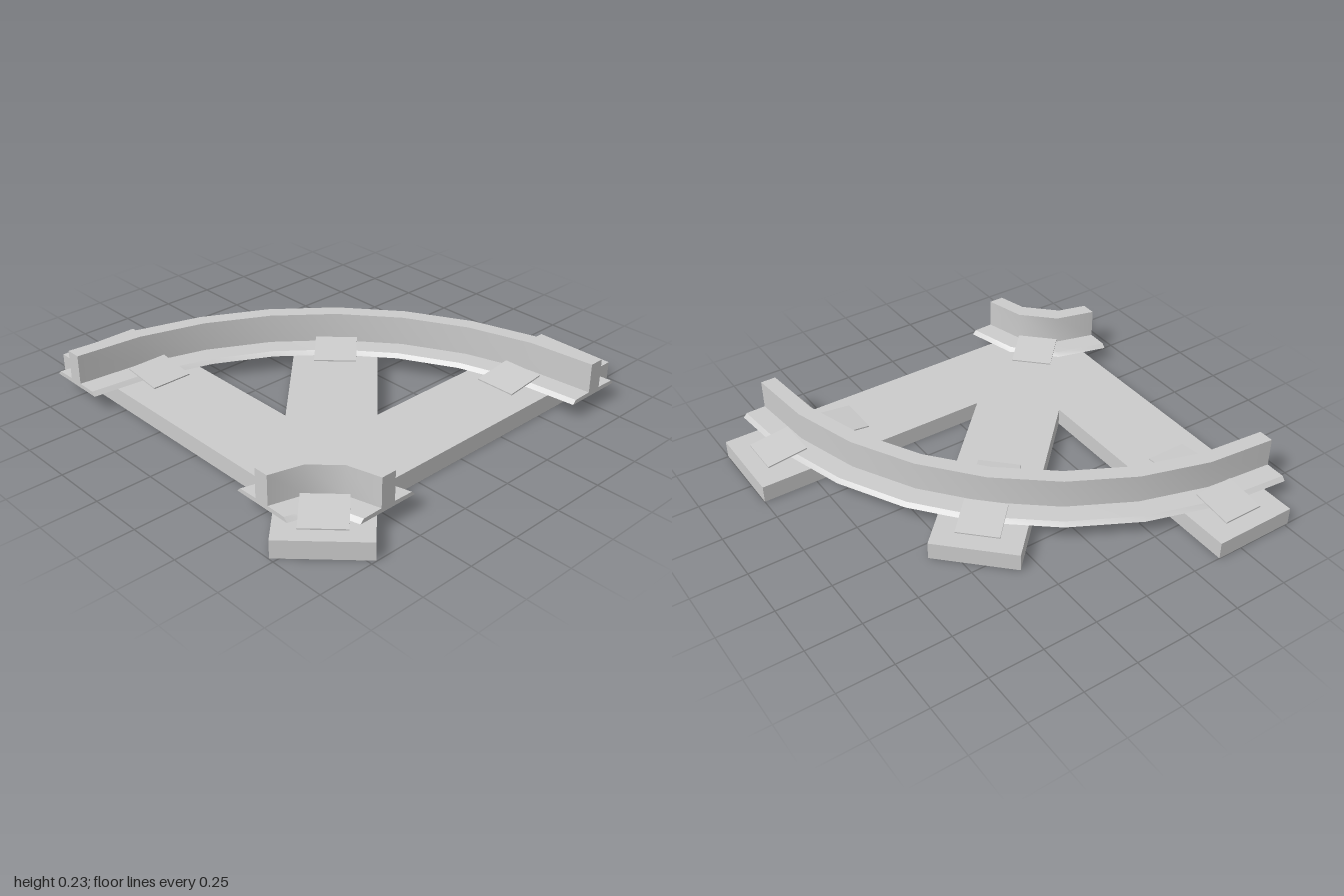
import * as THREE from 'three';
import { toCreasedNormals } from 'three/addons/utils/BufferGeometryUtils.js';

const C = 0.88; // both rails curve about the point x = z = C
const BEAM_H = 0.08, BEAM_W = 0.385;

export function createModel() {
  const root = new THREE.Group();
  const mat = new THREE.MeshStandardMaterial({ color: 0xcccccc });
  const add = (parent, name, geo) => {
    const mesh = new THREE.Mesh(geo, mat);
    mesh.name = name;
    parent.add(mesh);
    return mesh;
  };

  // Three flat beams fanning out from the front left corner
  const beam = (name, length, x, z, angle) => {
    const m = add(root, name, new THREE.BoxGeometry(length, BEAM_H, BEAM_W));
    m.position.set(x, BEAM_H / 2, z);
    m.rotation.y = angle;
  };
  beam('frontBeam', 1.75, -0.125, 0.576, 0);
  beam('sideBeam', 1.77, 0.562, -0.115, Math.PI / 2);
  beam('diagonalBeam', 1.874, 0.198, 0.198, -Math.PI / 4);

  // Rail: inverted T section swept through a quarter turn, with capped ends
  const section = [
    [-0.143, 0.08], [0.143, 0.08], [0.126, 0.098], [0.035, 0.1],
    [0.035, 0.235], [-0.035, 0.235], [-0.035, 0.1], [-0.126, 0.098],
  ];
  const rail = (name, radius, segments) => {
    const group = new THREE.Group();
    group.name = name;
    root.add(group);
    const pts = section.map(([r, y]) => new THREE.Vector2(radius + r, y));
    const sweep = new THREE.LatheGeometry([...pts, pts[0].clone()], segments, Math.PI, Math.PI / 2);
    add(group, name + 'Body', toCreasedNormals(sweep, 0.7)).position.set(C, 0, C);
    const cap = (sign) => new THREE.ShapeGeometry(
      new THREE.Shape(pts.map((p) => new THREE.Vector2(sign * (p.x - C), p.y))));
    add(group, name + 'FrontEnd', cap(-1)).position.z = C;
    add(group, name + 'SideEnd', cap(1).rotateY(Math.PI / 2)).position.x = C;
  };
  rail('outerRail', 1.592, 8);
  rail('innerRail', 0.332, 3);

  // Thin square clips, each tilted so the edge at the web is the higher one
  const clip = (name, x, z, angle, y, tilt) => {
    const m = add(root, name, new THREE.BoxGeometry(0.19, 0.006, 0.19));
    m.position.set(x, y, z);
    m.rotation.set(0, angle, tilt);
  };
  const pair = (name, outer, inner, angle) => {
    clip(name + 'OuterClip', ...outer, angle, 0.1, 0.12);
    clip(name + 'InnerClip', ...inner, angle, 0.109, -0.12);
  };
  pair('front', [-0.83, 0.573], [-0.52, 0.573], 0);
  pair('side', [0.565, -0.83], [0.57, -0.515], -Math.PI / 2);
  pair('middle', [-0.342, -0.345], [-0.145, -0.145], -Math.PI / 4);
  pair('corner', [0.563, 0.563], [0.76, 0.76], -Math.PI / 4);

  return root;
}
